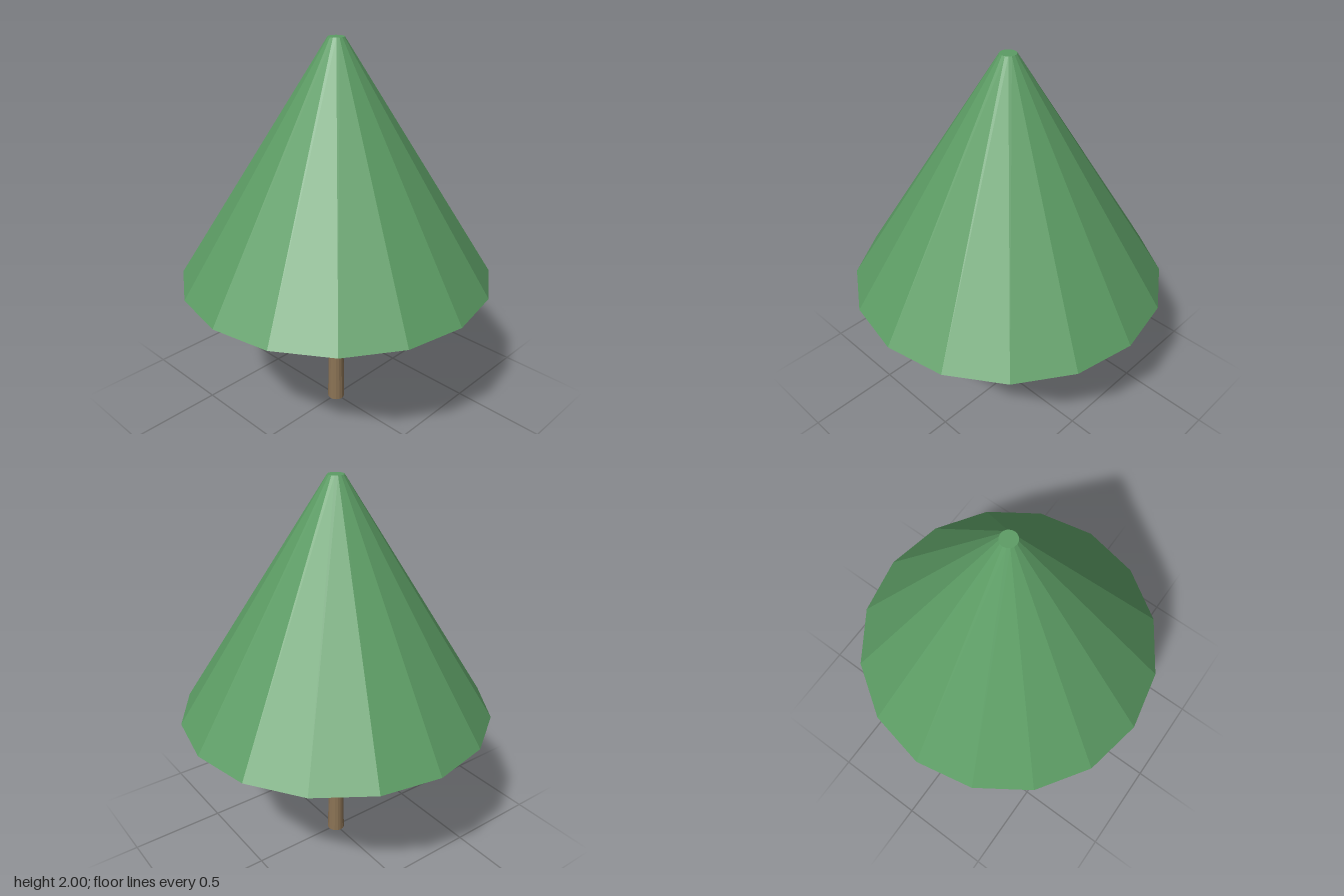
import * as THREE from 'three';

const SIDES = 16;

export function createModel() {
  const foliage = new THREE.MeshStandardMaterial({ name: 'leaf green', color: 0x5c9c64, flatShading: true });
  const bark = new THREE.MeshStandardMaterial({ name: 'bark brown', color: 0x8b7355, flatShading: true });
  const group = new THREE.Group();
  group.name = 'tree';

  // Capped, tapered section standing between two heights
  const addTaper = (name, topRadius, bottomRadius, y0, y1, material) => {
    const geometry = new THREE.CylinderGeometry(topRadius, bottomRadius, y1 - y0, SIDES);
    const mesh = new THREE.Mesh(geometry, material);
    mesh.name = name;
    mesh.position.y = (y0 + y1) / 2;
    group.add(mesh);
  };

  addTaper('trunk', 0.034, 0.046, 0, 0.8, bark);
  addTaper('crown', 0.04, 0.8, 0.8, 2, foliage);

  return group;
}
